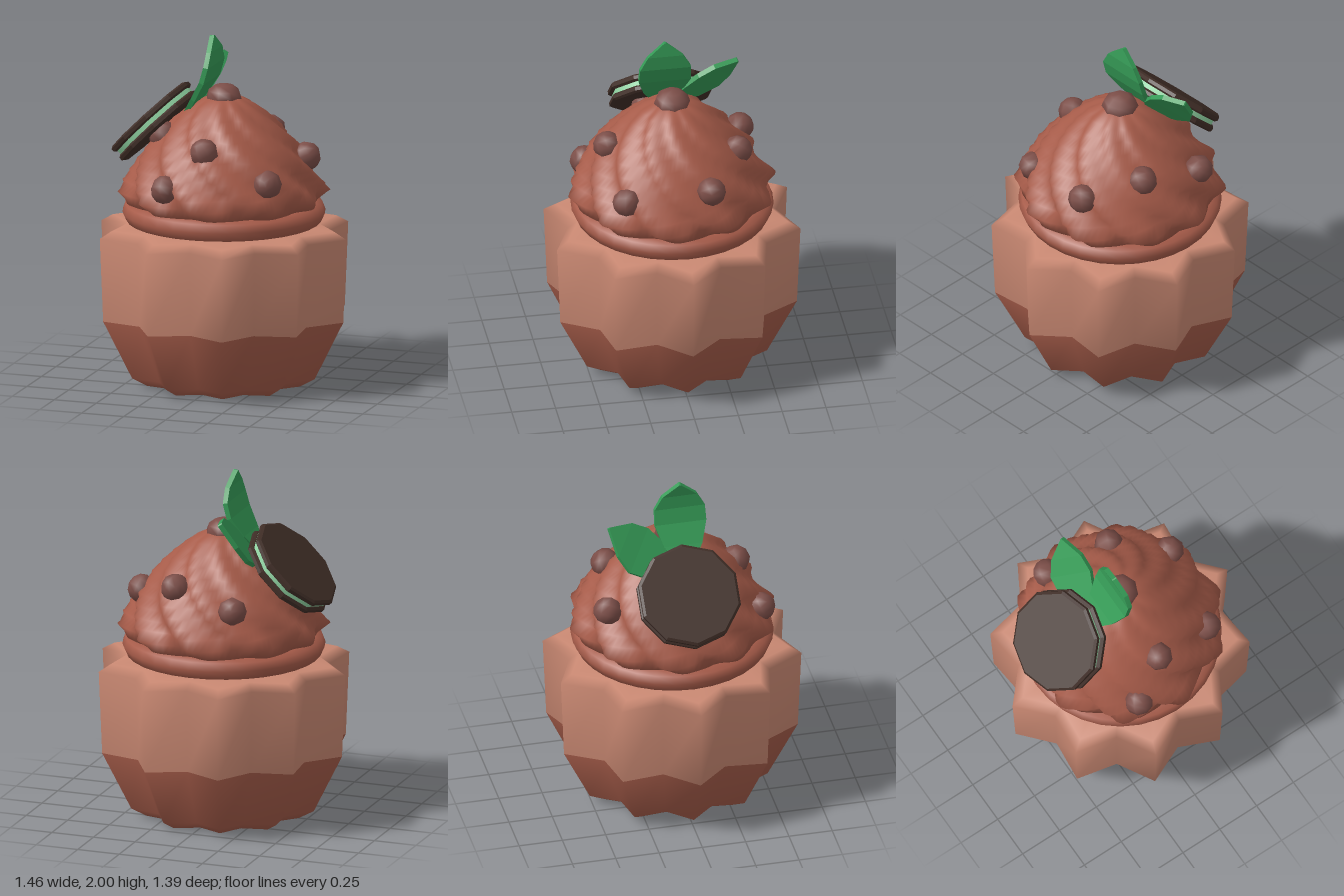
import * as THREE from 'three';

const mat = (name, color, side = THREE.FrontSide) => {
  const m = new THREE.MeshStandardMaterial({ color, side });
  m.name = name;
  return m;
};

// Closed, smooth surface of stacked rings; pos(row, angle) gives [x, y, z]
function ringSurface(rows, cols, pos, groups) {
  const p = [], index = [];
  for (let i = 0; i < rows; i++)
    for (let j = 0; j < cols; j++) p.push(...pos(i, (j / cols) * Math.PI * 2));
  for (let i = 0; i < rows - 1; i++)
    for (let j = 0; j < cols; j++) {
      const a = i * cols + j, b = i * cols + (j + 1) % cols;
      index.push(a, a + cols, b, b, a + cols, b + cols);
    }
  const g = new THREE.BufferGeometry();
  g.setAttribute('position', new THREE.Float32BufferAttribute(p, 3));
  g.setIndex(index);
  g.computeVertexNormals();
  // groups: [first row, last row, material index]
  (groups || []).forEach(([r0, r1, m]) => g.addGroup(r0 * cols * 6, (r1 - r0) * cols * 6, m));
  return g;
}

// Leaf blade: sections [x, y, z, half width] with a thin box cross-section
function leafGeometry(sections, widthDir, thickness) {
  const w = new THREE.Vector3(...widthDir).normalize();
  const pts = sections.map(s => new THREE.Vector3(s[0], s[1], s[2]));
  const corners = pts.map((c, i) => {
    const t = pts[Math.min(i + 1, pts.length - 1)].clone().sub(pts[Math.max(i - 1, 0)]);
    const n = t.cross(w).normalize().multiplyScalar(thickness / 2);
    const h = w.clone().multiplyScalar(sections[i][3]);
    return [[1, 1], [-1, 1], [-1, -1], [1, -1]].map(([a, b]) =>
      c.clone().addScaledVector(h, a).addScaledVector(n, b));
  });
  const p = [], index = [];
  const quad = (a, b, c, d) => {
    const k = p.length / 3;
    [a, b, c, d].forEach(v => p.push(v.x, v.y, v.z));
    index.push(k, k + 1, k + 2, k, k + 2, k + 3);
  };
  for (let i = 0; i < corners.length - 1; i++)
    for (let k = 0; k < 4; k++) {
      const m = (k + 1) % 4;
      quad(corners[i][k], corners[i][m], corners[i + 1][m], corners[i + 1][k]);
    }
  const a = corners[0], e = corners[corners.length - 1];
  quad(a[3], a[2], a[1], a[0]);
  quad(e[0], e[1], e[2], e[3]);
  const g = new THREE.BufferGeometry();
  g.setAttribute('position', new THREE.Float32BufferAttribute(p, 3));
  g.setIndex(index);
  g.computeVertexNormals();
  return g;
}

export function createModel() {
  const root = new THREE.Group();
  root.name = 'cupcake';
  const cupLight = mat('lightWrapper', 0xc98872, THREE.DoubleSide);
  const cupDark = mat('darkWrapper', 0xa25a48, THREE.DoubleSide);
  const cream = mat('chocolateCream', 0xa65b49);
  const chipMat = mat('chocolateChip', 0x7c4e48);
  const biscuitMat = mat('biscuit', 0x402e27);
  const mint = mat('mintFilling', 0x90d3a2);
  const leafMat = mat('leafGreen', 0x359a56, THREE.DoubleSide);

  const add = (name, geo, material, parent = root) => {
    const m = new THREE.Mesh(geo, material);
    m.name = name;
    parent.add(m);
    return m;
  };

  // Ten-pointed pleated wrapper, open underneath
  const cup = [[0.45, 0], [0.54, 0.05], [0.71, 0.39], [0.73, 0.87], [0.66, 0.91], [0.45, 0.91]];
  add('wrapper', ringSurface(cup.length, 20, (i, a) => {
    const tip = Math.round(a / (Math.PI / 10)) % 2 === 0;
    const r = cup[i][0] * (tip ? 1 : 0.815);
    return [r * Math.cos(a), cup[i][1], r * Math.sin(a)];
  }, [[0, 2, 0], [2, 5, 1]]), [cupDark, cupLight]);

  // Rounded cream layer under the swirl
  const ring = [[0, 0.93], [0.52, 0.93], [0.55, 0.935], [0.572, 0.985], [0.555, 1.03], [0.5, 1.045], [0, 1.05]];
  add('creamRing', new THREE.LatheGeometry(ring.map(q => new THREE.Vector2(...q)), 32), cream);

  // Twisted cream dome: radius, height, ridge depth
  const dome = [[0.001, 1.045, 0], [0.48, 1.04, 0.02], [0.53, 1.045, 0.04], [0.56, 1.1, 0.065],
    [0.535, 1.155, 0.065], [0.51, 1.2, 0.06], [0.485, 1.25, 0.06], [0.455, 1.3, 0.06],
    [0.42, 1.35, 0.06], [0.38, 1.4, 0.06], [0.335, 1.45, 0.06], [0.285, 1.5, 0.06],
    [0.23, 1.55, 0.06], [0.17, 1.6, 0.05], [0.1, 1.64, 0.03], [0.001, 1.66, 0]];
  add('creamSwirl', ringSurface(dome.length, 100, (i, a) => {
    const [R, y, depth] = dome[i];
    const t = (y - 1.1) / 0.55;
    const phase = 10 * (a + 1.676 - 1.4 * t);
    const r = R * (1 + depth * (Math.cos(phase) + 0.25 * Math.sin(2 * phase)));
    return [r * Math.cos(a), y, r * Math.sin(a)];
  }), cream);

  // Chocolate chips
  const chipGeo = new THREE.SphereGeometry(0.082, 8, 6);
  [[0.01, 1.4, 0.37], [0.37, 1.235, 0.32], [-0.19, 1.195, 0.47], [0.44, 1.3, -0.15],
    [0.16, 1.39, -0.35], [-0.21, 1.31, -0.42], [-0.33, 1.42, 0.1]].forEach((c, i) => {
    const chip = add('chip' + (i + 1), chipGeo, chipMat);
    chip.position.set(...c);
    chip.rotation.set(0.3 + i, i * 0.8, 0.4);
  });
  const top = add('topChip', new THREE.SphereGeometry(0.104, 8, 6), chipMat);
  top.position.set(0, 1.64, 0);
  top.scale.y = 0.77;

  // Tilted ten-sided sandwich biscuit
  const cookie = new THREE.Group();
  cookie.name = 'sandwichBiscuit';
  cookie.position.set(-0.41, 1.468, 0);
  cookie.rotation.z = Math.PI / 4;
  root.add(cookie);
  const wafer = [[0, -0.02], [0.28, -0.02], [0.295, -0.01], [0.295, 0.01], [0.28, 0.02], [0, 0.02]];
  const waferGeo = new THREE.LatheGeometry(wafer.map(q => new THREE.Vector2(...q)), 10, Math.PI / 2)
    .toNonIndexed();
  waferGeo.computeVertexNormals();
  [-1, 1].forEach(s => {
    add(s > 0 ? 'upperWafer' : 'lowerWafer', waferGeo, biscuitMat, cookie).position.y = s * 0.033;
  });
  add('filling', new THREE.CylinderGeometry(0.275, 0.275, 0.03, 10, 1, false, Math.PI / 2), mint, cookie);

  // Mint leaves
  add('uprightLeaf', leafGeometry([[-0.2, 1.55, 0.03, 0.05], [-0.14, 1.64, 0.03, 0.11],
    [-0.075, 1.75, 0.03, 0.148], [-0.05, 1.84, 0.03, 0.145], [-0.047, 1.92, 0.03, 0.1],
    [-0.06, 2, 0.03, 0.004]], [0, 0, 1], 0.028), leafMat);
  add('sideLeaf', leafGeometry([[-0.2, 1.54, -0.06, 0.05], [-0.19, 1.59, -0.14, 0.115],
    [-0.17, 1.66, -0.235, 0.14], [-0.15, 1.73, -0.31, 0.105],
    [-0.125, 1.805, -0.395, 0.004]], [0.6, 0.6, 0.5], 0.028), leafMat);

  return root;
}
